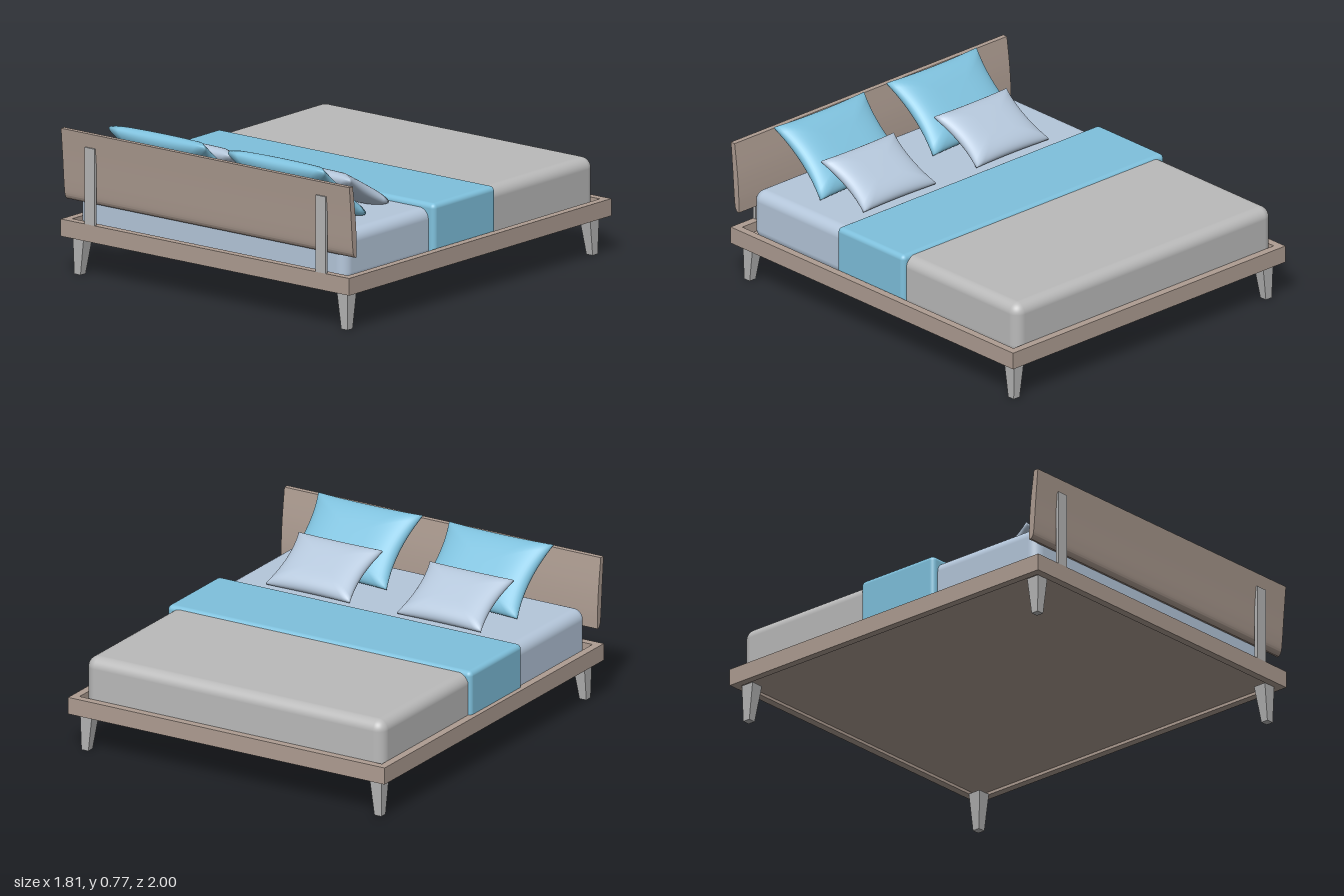
import * as THREE from 'three';
import { mergeVertices, toCreasedNormals } from 'three/addons/utils/BufferGeometryUtils.js';
import { RoundedBoxGeometry } from 'three/addons/geometries/RoundedBoxGeometry.js';

const material = (name, color) => {
  const m = new THREE.MeshStandardMaterial({ color });
  m.name = name;
  return m;
};

// Cushion: a sphere remapped to a square with pinched-in sides and thin corners
function cushionGeometry(width, length, thickness) {
  const geo = new THREE.SphereGeometry(1, 64, 24);
  const p = geo.attributes.position;
  for (let i = 0; i < p.count; i++) {
    const x = p.getX(i), y = p.getY(i), z = p.getZ(i);
    const c = Math.hypot(x, z);
    let u = 0, v = 0;
    if (c > 1e-5) {
      const k = Math.sqrt(c) / Math.max(Math.abs(x), Math.abs(z));
      u = x * k;
      v = z * k;
    }
    p.setXYZ(i,
      u * (1 - 0.11 * (1 - v * v)) * width / 2,
      y * (1 - 0.3 * u * u * v * v) * thickness / 2,
      v * (1 - 0.04 * (1 - u * u)) * length / 2);
  }
  geo.deleteAttribute('uv');
  geo.deleteAttribute('normal');
  const merged = mergeVertices(geo, 1e-5);
  merged.computeVertexNormals();
  return merged;
}

// Tapered leg for the +x, +z corner; the foot narrows towards the outside
function legGeometry(sx, sz) {
  const geo = new THREE.BoxGeometry(0.068, 0.19, 0.07);
  const p = geo.attributes.position;
  for (let i = 0; i < p.count; i++) {
    if (p.getY(i) < 0) {
      p.setX(i, p.getX(i) * 0.58 + sx * 0.01);
      p.setZ(i, p.getZ(i) * 0.56 + sz * 0.01);
    }
  }
  geo.computeVertexNormals();
  return geo;
}

// Curved headboard profile in (z, y), extruded across the width
function headboardGeometry(width) {
  const s = new THREE.Shape();
  const v = (x, y) => new THREE.Vector2(x, y);
  s.moveTo(0.972, 0.73);
  s.splineThru([v(0.952, 0.58), v(0.943, 0.46), v(0.942, 0.37)]);
  s.lineTo(0.952, 0.37);
  s.splineThru([v(0.967, 0.39), v(0.975, 0.45), v(0.985, 0.58), v(0.998, 0.73)]);
  s.closePath();
  const geo = new THREE.ExtrudeGeometry(s, { depth: width, bevelEnabled: false, curveSegments: 10 });
  geo.translate(0, 0, -width / 2);
  geo.rotateY(-Math.PI / 2);
  return toCreasedNormals(geo, 0.6);
}

export function createModel() {
  const root = new THREE.Group();
  root.name = 'bed';
  const wood = material('brown wood', 0xae9d92);
  const metal = material('leg grey', 0xb6b6b6);
  const grey = material('duvet grey', 0xbababa);
  const blue = material('sky blue', 0x7fc1dd);
  const pale = material('pale blue', 0xb5c7db);

  const add = (name, geo, mat, x = 0, y = 0, z = 0) => {
    const mesh = new THREE.Mesh(geo, mat);
    mesh.name = name;
    mesh.position.set(x, y, z);
    root.add(mesh);
    return mesh;
  };
  // Box or rounded box given by its limits
  const block = (name, mat, x0, x1, y0, y1, z0, z1, r = 0) => {
    const size = [x1 - x0, y1 - y0, z1 - z0];
    const geo = r ? new RoundedBoxGeometry(...size, 6, r) : new THREE.BoxGeometry(...size);
    return add(name, geo, mat, (x0 + x1) / 2, (y0 + y1) / 2, (z0 + z1) / 2);
  };

  // Frame rails and base panel
  for (const s of [-1, 1]) {
    add('sideRail', new THREE.BoxGeometry(0.04, 0.086, 2), wood, s * 0.885, 0.233, 0);
    add('endRail', new THREE.BoxGeometry(1.73, 0.086, 0.04), wood, 0, 0.233, s * 0.98);
  }
  block('basePanel', wood, -0.865, 0.865, 0.205, 0.225, -0.96, 0.96);

  // Legs
  for (const sx of [-1, 1]) {
    for (const sz of [-1, 1]) {
      add('leg', legGeometry(sx, sz), metal, sx * 0.828, 0.095, sz * 0.925);
    }
  }

  // Headboard and its posts
  add('headboard', headboardGeometry(1.81), wood);
  for (const s of [-1, 1]) {
    add('headboardPost', new THREE.BoxGeometry(0.062, 0.385, 0.018), metal, s * 0.725, 0.4675, 0.991);
  }

  // Mattress, duvet and throw
  block('mattress', pale, -0.848, 0.825, 0.215, 0.472, -0.1, 0.937, 0.055);
  block('duvet', grey, -0.865, 0.84, 0.215, 0.486, -0.957, 0.1, 0.055);
  block('throw', blue, -0.88, 0.86, 0.215, 0.498, -0.175, 0.298, 0.025);

  // Pillows leaning towards the headboard
  const largePillow = cushionGeometry(0.595, 0.43, 0.118);
  const smallPillow = cushionGeometry(0.48, 0.345, 0.1);
  for (const s of [-1, 1]) {
    add('largePillow', largePillow, blue, 0.011 + s * 0.374, 0.622, 0.765).rotation.x = -0.7;
    add('smallPillow', smallPillow, pale, 0.01 + s * 0.375, 0.568, 0.507).rotation.x = -0.51;
  }
  return root;
}
